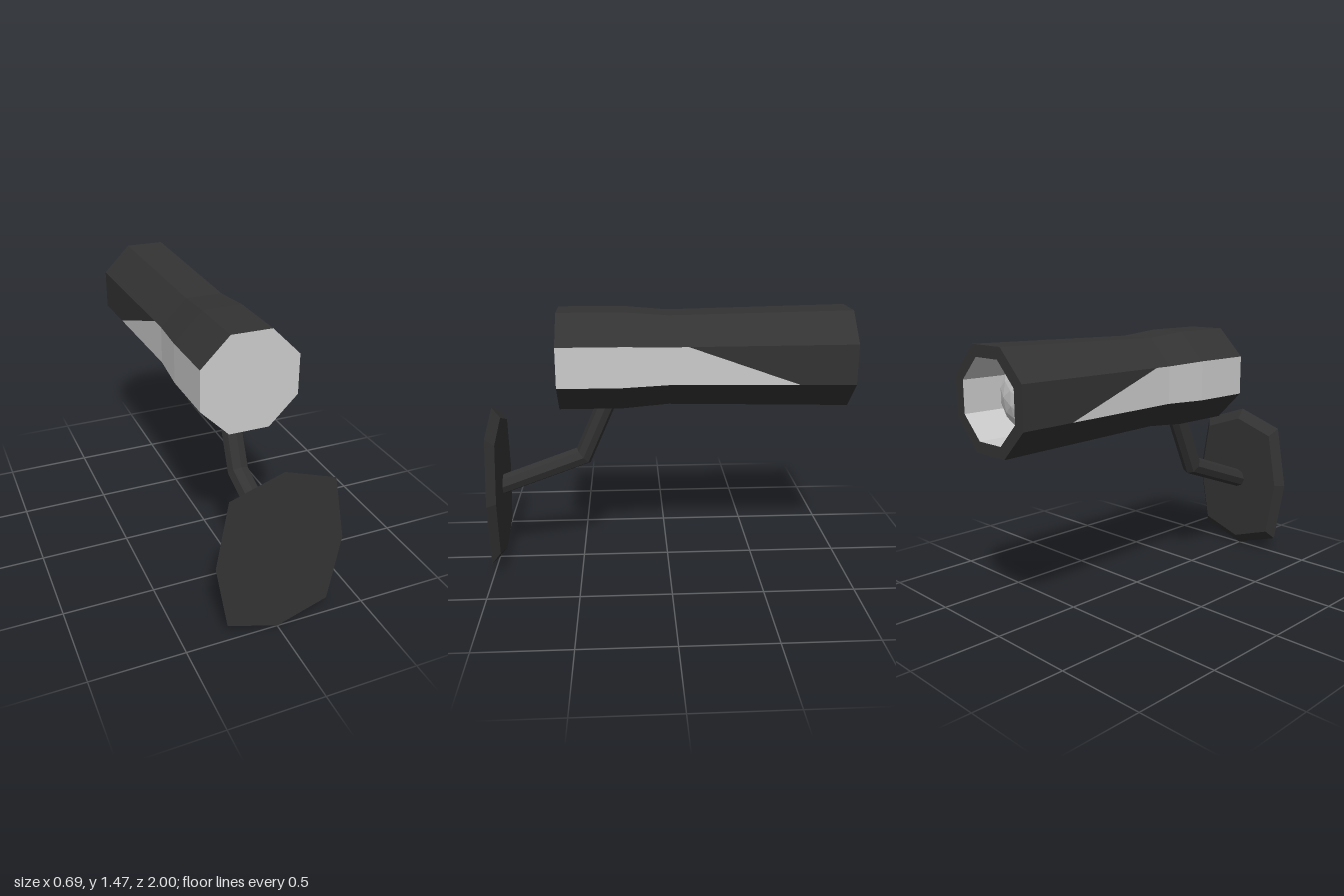
import * as THREE from 'three';

const dark = new THREE.MeshStandardMaterial({ color: 0x333333, flatShading: true });
const light = new THREE.MeshStandardMaterial({ color: 0xcccccc, flatShading: true });
const V = (x, y, z) => new THREE.Vector3(x, y, z);

// Flat-faced mesh from convex polygons, each split as a fan
function polyMesh(name, polys, material) {
  const pts = [];
  for (const p of polys) {
    for (let i = 1; i < p.length - 1; i++) pts.push(p[0], p[i], p[i + 1]);
  }
  const geo = new THREE.BufferGeometry().setFromPoints(pts);
  geo.computeVertexNormals();
  const mesh = new THREE.Mesh(geo, material);
  mesh.name = name;
  return mesh;
}

// Quad between two rings on side i (ring a lies towards +z)
const quad = (a, b, i) => {
  const j = (i + 1) % a.length;
  return [a[i], b[i], b[j], a[j]];
};
const band = (a, b) => a.map((_, i) => quad(a, b, i));

// Body octagon with flat sides, r = distance from axis to a side
const AXIS = 1.207;
function octagon(z, r) {
  const R = r / Math.cos(Math.PI / 8);
  return Array.from({ length: 8 }, (_, i) => {
    const a = (i - 0.5) * Math.PI / 4;
    return V(R * Math.cos(a), AXIS + R * Math.sin(a), z);
  });
}

function createBody() {
  const body = new THREE.Group();
  body.name = 'cameraBody';
  const rings = [[0.6, 0.265], [0.25, 0.265], [0, 0.245], [-1, 0.265]].map(s => octagon(...s));
  const shell = [], panels = [];
  for (let k = 0; k < 3; k++) {
    for (let i = 0; i < 8; i++) {
      const side = i === 0 || i === 4;
      const q = quad(rings[k], rings[k + 1], i);
      if (!side) shell.push(q);
      else if (k < 2) panels.push(q);
      else {
        // Side panel ends in a slanted cut across the long rear section
        const [a, b, c, d] = q;
        const [lo, hi] = i === 0 ? [0.7, 0.1] : [0.1, 0.7];
        const p = a.clone().lerp(b, lo), s = d.clone().lerp(c, hi);
        panels.push([a, p, s, d]);
        shell.push([p, b, c, s]);
      }
    }
  }
  // Rim around the lens opening, then the recess
  const mouth = octagon(-1, 0.205), floor = octagon(-0.75, 0.205);
  shell.push(...band(rings[3], mouth));
  body.add(polyMesh('shell', shell, dark));
  body.add(polyMesh('sidePanels', panels, light));
  body.add(polyMesh('endCap', [rings[0]], light));
  body.add(polyMesh('lensRecess', [...band(mouth, floor), [...floor].reverse()], light));

  // Faceted lens dome
  const lens = new THREE.Mesh(new THREE.IcosahedronGeometry(0.19, 2), light);
  lens.name = 'lens';
  lens.scale.z = 0.7;
  lens.position.set(0, AXIS, -0.74);
  body.add(lens);
  return body;
}

// Bent octagonal arm with a mitred elbow; (ny, nz) is the half-width in the bend plane
function createArm() {
  const ring = (y, z, ny, nz) => Array.from({ length: 8 }, (_, i) => {
    const a = i * Math.PI / 4, s = Math.sin(a);
    return V(0.059 * Math.cos(a), y + ny * s, z + nz * s);
  });
  const start = ring(0.46, 0.965, 0.059, 0);
  const elbow = ring(0.635, 0.482, 0.045, 0.038);
  const end = ring(1.0, 0.32, 0, 0.057);
  return polyMesh('arm', [...band(start, elbow), ...band(elbow, end)], dark);
}

// Bevelled, slightly tilted wall plate
function createPlate() {
  const half = [[0, 0], [0.28, 0.095], [0.345, 0.465], [0.28, 0.83]];
  const outline = [...half, [0, 0.925], ...half.slice(1).reverse().map(([x, y]) => [-x, y])];
  const ring = (scale, depth) => outline.map(([x, y]) => {
    const py = 0.4625 + (y - 0.4625) * scale;
    return V(x * scale, py, 1 - 0.011 * py - depth);
  });
  const front = ring(1, 0), back = ring(0.87, 0.046);
  return polyMesh('wallPlate', [front, ...band(front, back), [...back].reverse()], dark);
}

export function createModel() {
  const model = new THREE.Group();
  model.name = 'securityCamera';
  model.add(createBody(), createArm(), createPlate());
  return model;
}
